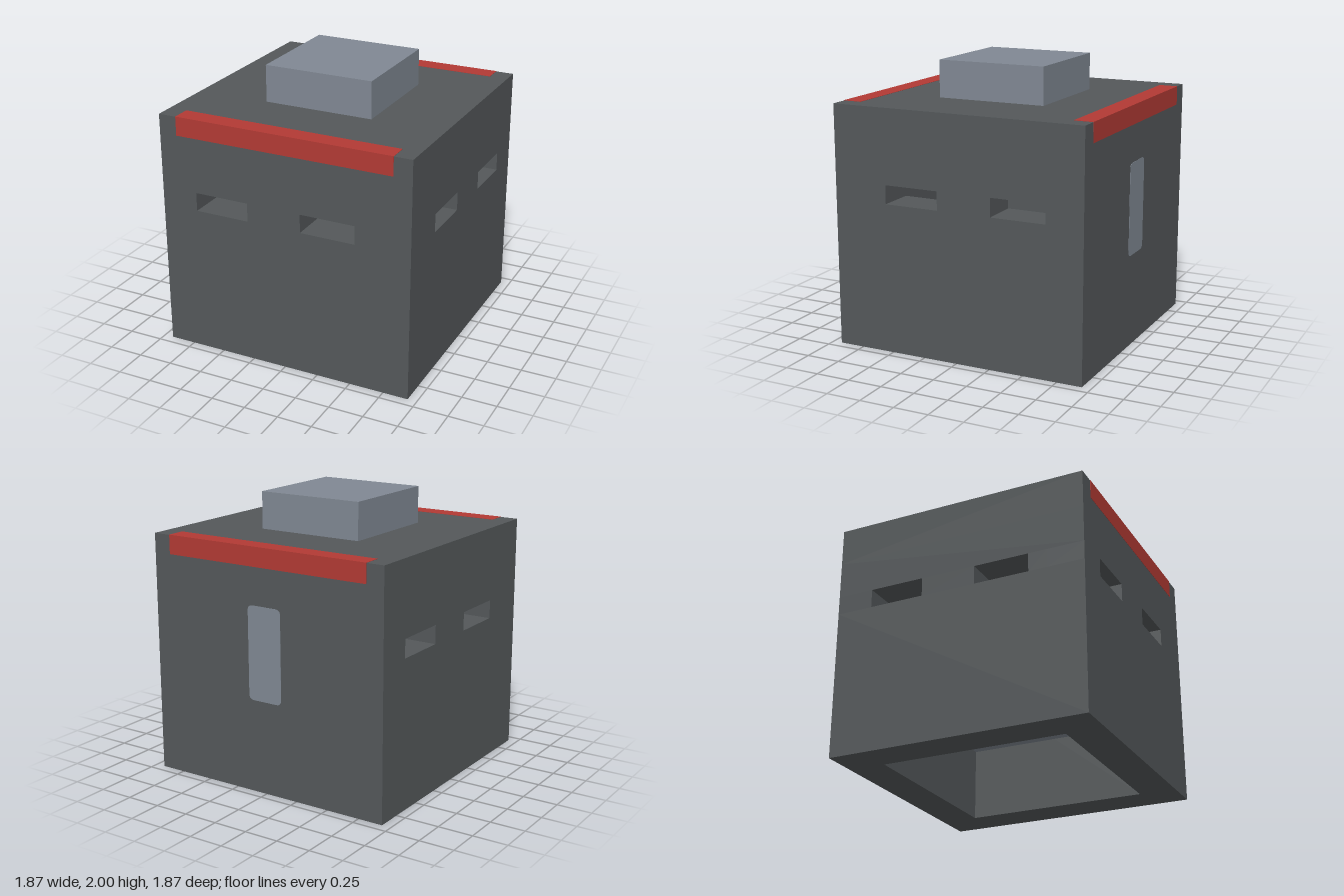
import * as THREE from 'three';
import { RoundedBoxGeometry } from 'three/addons/geometries/RoundedBoxGeometry.js';

// The whole bunker sits on a grid of 15 cells in height.
const U = 2 / 15;
const SKIN = 0.002; // lift of painted details above the concrete

function material(name, color) {
  const m = new THREE.MeshStandardMaterial({ color });
  m.name = name;
  return m;
}

export function createModel() {
  const concrete = material('concrete', 0x54585a);
  const steel = material('steel', 0x808893);
  const red = material('red paint', 0xb23a34);
  const green = material('green', 0x57c083);

  const model = new THREE.Group();
  model.name = 'bunker';

  function add(name, geometry, mat, parent = model) {
    const mesh = new THREE.Mesh(geometry, mat);
    mesh.name = name;
    parent.add(mesh);
    return mesh;
  }

  // Box between two corners given in grid cells
  function block(name, [x0, x1], [y0, y1], [z0, z1], mat, parent, grow = 0) {
    const g = new THREE.BoxGeometry((x1 - x0) * U + grow, (y1 - y0) * U + grow, (z1 - z0) * U + grow);
    g.translate((x0 + x1) * U / 2, (y0 + y1) * U / 2, (z0 + z1) * U / 2);
    return add(name, g, mat, parent);
  }

  function square(Type, half) {
    const h = half * U;
    return new Type([[-h, -h], [h, -h], [h, h], [-h, h]].map(([x, y]) => new THREE.Vector2(x, y)));
  }

  // Square ring of wall, open above and below
  function wallRing(name, y0, y1, parent) {
    const shape = square(THREE.Shape, 7);
    shape.holes.push(square(THREE.Path, 5));
    const g = new THREE.ExtrudeGeometry(shape, { depth: (y1 - y0) * U, bevelEnabled: false });
    g.rotateX(-Math.PI / 2).translate(0, y0 * U, 0);
    return add(name, g, concrete, parent);
  }

  // Walls: solid courses below and above a course of blocks that leaves the slits open
  const walls = new THREE.Group();
  walls.name = 'walls';
  model.add(walls);
  wallRing('lowerWall', 0, 8, walls);
  wallRing('upperWall', 9, 11, walls);
  for (const span of [[-7, -5], [-2, 1], [4, 7]]) {
    block('frontSlitPier', span, [8, 9], [5, 7], concrete, walls);
  }
  block('backSlitCourse', [-7, 7], [8, 9], [-7, -5], concrete, walls);
  for (const side of [[-7, -5], [5, 7]]) {
    for (const span of [[-2, 1], [4, 5]]) block('sideSlitPier', side, [8, 9], span, concrete, walls);
  }

  // Roof, rooftop hatch and raised floor
  block('roof', [-7, 7], [11, 13], [-7, 7], concrete);
  block('roofHatch', [-3, 3], [13, 15], [-3, 3], steel);
  block('floor', [-5, 5], [4, 5], [-5, 5], steel);

  // Red edge bars along the front and back of the roof
  block('frontEdgeBar', [-6, 6], [12, 13], [6, 7], red, model, 2 * SKIN);
  block('backEdgeBar', [-6, 6], [12, 13], [-7, -6], red, model, 2 * SKIN);

  // Rounded door plate on the back wall
  const w = U, y0 = 5 * U, y1 = 10 * U, r = 0.04;
  const door = new THREE.Shape();
  door.moveTo(-w + r, y0);
  door.lineTo(w - r, y0);
  door.quadraticCurveTo(w, y0, w, y0 + r);
  door.lineTo(w, y1 - r);
  door.quadraticCurveTo(w, y1, w - r, y1);
  door.lineTo(-w + r, y1);
  door.quadraticCurveTo(-w, y1, -w, y1 - r);
  door.lineTo(-w, y0 + r);
  door.quadraticCurveTo(-w, y0, -w + r, y0);
  const plate = new THREE.ExtrudeGeometry(door, { depth: 2 * SKIN, bevelEnabled: false });
  add('backDoor', plate, steel).position.z = -7 * U - SKIN;

  // Green slab inside, level with the slits
  const slab = new RoundedBoxGeometry(3 * U, U, 3 * U, 2, 0.012);
  add('innerSlab', slab, green).position.set(-3.5 * U, 8.5 * U, 2.5 * U);

  return model;
}
